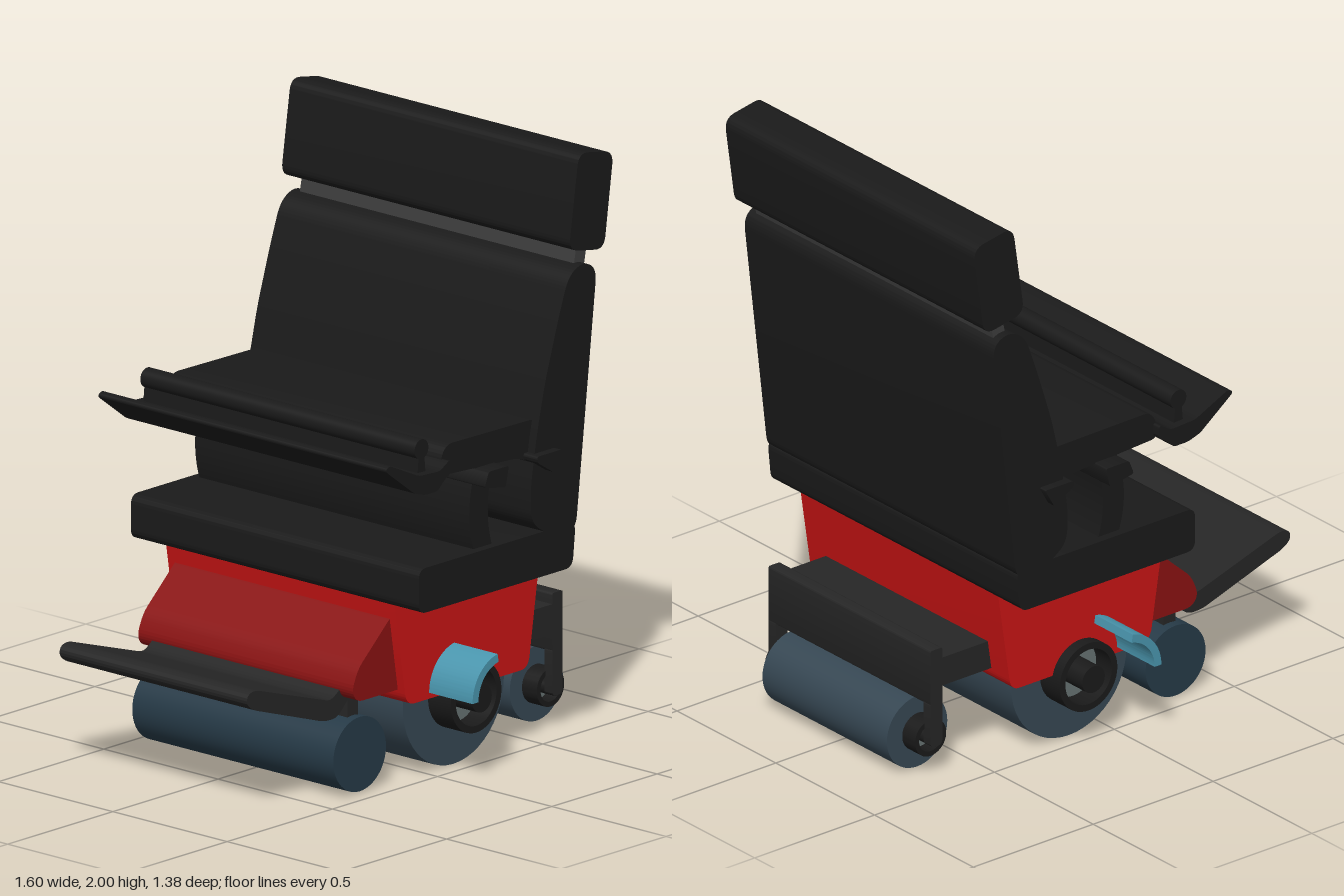
import * as THREE from 'three';
import { toCreasedNormals } from 'three/addons/utils/BufferGeometryUtils.js';

const BLACK = 0x1a1a1a, DARK = 0x262626, RED = 0xc81414, DEEP_RED = 0x8a1212;
const TYRE = 0x364753, FRONT_TYRE = 0x263a47, GREY = 0x667272, BLUE = 0x4a96ae;

// Closed outline with every corner rounded by r (limited by the edge lengths)
function rounded(points, r) {
  const shape = new THREE.Shape();
  const P = points.map(([x, y]) => new THREE.Vector2(x, y));
  P.forEach((p, i) => {
    const prev = P[(i + P.length - 1) % P.length], next = P[(i + 1) % P.length];
    const toward = q => p.clone().lerp(q, Math.min(0.48, r / p.distanceTo(q)));
    const a = toward(prev), b = toward(next);
    if (i) shape.lineTo(a.x, a.y); else shape.moveTo(a.x, a.y);
    shape.quadraticCurveTo(p.x, p.y, b.x, b.y);
  });
  shape.closePath();
  return shape;
}

function polygon(points) {
  return new THREE.Shape(points.map(([x, y]) => new THREE.Vector2(x, y)));
}

// Arc band, or a full ring when it closes
function band(x, y, outer, inner, from, to) {
  const s = new THREE.Shape();
  s.absarc(x, y, outer, from, to, false);
  s.absarc(x, y, inner, to, from, true);
  s.closePath();
  return s;
}

export function createModel() {
  const group = new THREE.Group();

  const add = (name, geometry, color) => {
    const mesh = new THREE.Mesh(geometry, new THREE.MeshStandardMaterial({ color }));
    mesh.name = name;
    group.add(mesh);
    return mesh;
  };

  // Side profile swept across the width, from z0 to z1
  const sweep = (name, shape, z1, color, z0 = -z1) => {
    const g = new THREE.ExtrudeGeometry(shape, { depth: z1 - z0, bevelEnabled: false, curveSegments: 24 });
    g.translate(0, 0, z0);
    return add(name, toCreasedNormals(g, 0.6), color);
  };

  const roller = (name, x, y, radius, half, color) => {
    const g = new THREE.CylinderGeometry(radius, radius, half * 2, 48);
    g.rotateX(Math.PI / 2);
    g.translate(x, y, 0);
    return add(name, g, color);
  };

  // Seat, backrest and headrest
  sweep('seat', rounded([[-0.23, 0.62], [0.5, 0.62], [0.515, 0.77], [-0.23, 0.77]], 0.035), 0.63, BLACK);
  sweep('backrest', rounded([
    [0.515, 0.74], [0.615, 1.6], [0.55, 1.635], [0.48, 1.6], [0.43, 1.46], [0.37, 1.27],
    [0.33, 1.1], [0.3, 0.92], [0.305, 0.81], [0.37, 0.765], [0.42, 0.74],
  ], 0.05), 0.63, BLACK);
  sweep('headrestPost', polygon([[0.53, 1.58], [0.58, 1.58], [0.605, 1.7], [0.555, 1.7]]), 0.6, 0x3c3c3c);
  sweep('headrest', rounded([[0.483, 1.685], [0.65, 1.655], [0.695, 1.975], [0.53, 2.005]], 0.045), 0.63, BLACK);

  // Armrest with its curved support and brackets
  sweep('armrest', rounded([
    [-0.095, 1.05], [0.27, 1.03], [0.37, 0.99], [0.42, 1.06], [0.35, 1.145], [-0.06, 1.15], [-0.09, 1.12],
  ], 0.025), 0.6, BLACK);
  const support = new THREE.Shape();
  support.moveTo(0.07, 0.75);
  support.quadraticCurveTo(0.01, 0.9, 0.08, 1.06);
  support.lineTo(0.165, 1.06);
  support.quadraticCurveTo(0.1, 0.9, 0.155, 0.75);
  support.closePath();
  sweep('armrestSupport', support, 0.6, BLACK);
  sweep('frontBracket', rounded([[0.05, 0.99], [0.15, 0.97], [0.165, 1.04], [0.07, 1.04]], 0.01), 0.66, BLACK);
  sweep('rearBracket', rounded([[0.3, 1.02], [0.38, 0.97], [0.42, 1.04], [0.3, 1.04]], 0.01), 0.66, BLACK);

  // Control tray and stick
  sweep('controlTray', rounded([
    [-0.39, 1.135], [-0.25, 1.03], [-0.2, 1.015], [-0.14, 1.015], [-0.11, 1.045], [-0.08, 1.06],
    [-0.08, 1.11], [-0.13, 1.08], [-0.23, 1.085], [-0.37, 1.15],
  ], 0.015), 0.63, BLACK);
  sweep('stickStem', polygon([[-0.205, 1.07], [-0.165, 1.07], [-0.173, 1.15], [-0.197, 1.15]]), 0.6, BLACK);
  roller('stickKnob', -0.185, 1.16, 0.033, 0.6, BLACK);

  // Red base, notched around the drive hub
  const hubX = 0.14, hubY = 0.245, notch = 0.1;
  const a = Math.asin((0.27 - hubY) / notch);
  const base = new THREE.Shape();
  base.moveTo(-0.205, 0.63);
  base.lineTo(-0.155, 0.31);
  base.quadraticCurveTo(-0.145, 0.27, -0.11, 0.27);
  base.lineTo(hubX - notch * Math.cos(a), 0.27);
  base.absarc(hubX, hubY, notch, Math.PI - a, a, true);
  base.lineTo(0.395, 0.27);
  base.quadraticCurveTo(0.43, 0.27, 0.437, 0.31);
  base.lineTo(0.485, 0.63);
  base.closePath();
  sweep('base', base, 0.5, RED);
  sweep('frontCowl', rounded([
    [-0.13, 0.32], [-0.13, 0.6], [-0.18, 0.58], [-0.345, 0.43], [-0.375, 0.36], [-0.35, 0.32],
  ], 0.03), 0.47, DEEP_RED);
  sweep('sideTrim', band(0.105, 0.29, 0.145, 0.117, 1.75, Math.PI), 0.69, BLUE);

  // Drive wheel and hub
  roller('driveWheel', hubX, 0.24, 0.24, 0.44, TYRE);
  roller('driveDisc', hubX, hubY, 0.098, 0.46, GREY);
  roller('driveAxle', hubX, hubY, 0.047, 0.565, BLACK);
  for (const side of [1, -1]) {
    const ring = band(hubX, hubY, 0.12, 0.097, 0, Math.PI * 2);
    sweep('driveRim', ring, side > 0 ? 0.54 : -0.44, BLACK, side > 0 ? 0.44 : -0.54);
  }

  // Footrest and front roller
  sweep('footrest', rounded([
    [-0.81, 0.4], [-0.78, 0.375], [-0.44, 0.262], [-0.38, 0.262], [-0.32, 0.32], [-0.33, 0.38],
    [-0.41, 0.325], [-0.77, 0.44], [-0.805, 0.43],
  ], 0.025), 0.41, DARK);
  sweep('frontPost', polygon([[-0.33, 0.13], [-0.28, 0.13], [-0.28, 0.33], [-0.33, 0.33]]), 0.41, DARK);
  roller('frontWheel', -0.305, 0.13, 0.125, 0.44, FRONT_TYRE);

  // Rear frame, fork plates and rear roller
  sweep('rearFrame', polygon([[0.4, 0.32], [0.65, 0.32], [0.65, 0.42], [0.4, 0.42]]), 0.41, DARK);
  sweep('rearCrossPlate', rounded([[0.643, 0.26], [0.692, 0.26], [0.692, 0.457], [0.643, 0.457]], 0.008), 0.41, DARK);
  roller('rearWheel', 0.67, 0.13, 0.126, 0.315, TYRE);
  for (const side of [1, -1]) {
    const span = (inner, outer) => (side > 0 ? [inner, outer] : [-outer, -inner]);
    const [f0, f1] = span(0.375, 0.41);
    sweep('rearFork', rounded([[0.643, 0.11], [0.692, 0.11], [0.692, 0.28], [0.643, 0.28]], 0.02), f1, DARK, f0);
    const [r0, r1] = span(0.31, 0.38);
    sweep('rearRim', band(0.667, 0.13, 0.065, 0.048, 0, Math.PI * 2), r1, BLACK, r0);
  }
  roller('rearDisc', 0.667, 0.13, 0.049, 0.33, GREY);
  roller('rearAxle', 0.667, 0.13, 0.024, 0.405, BLACK);

  return group;
}
